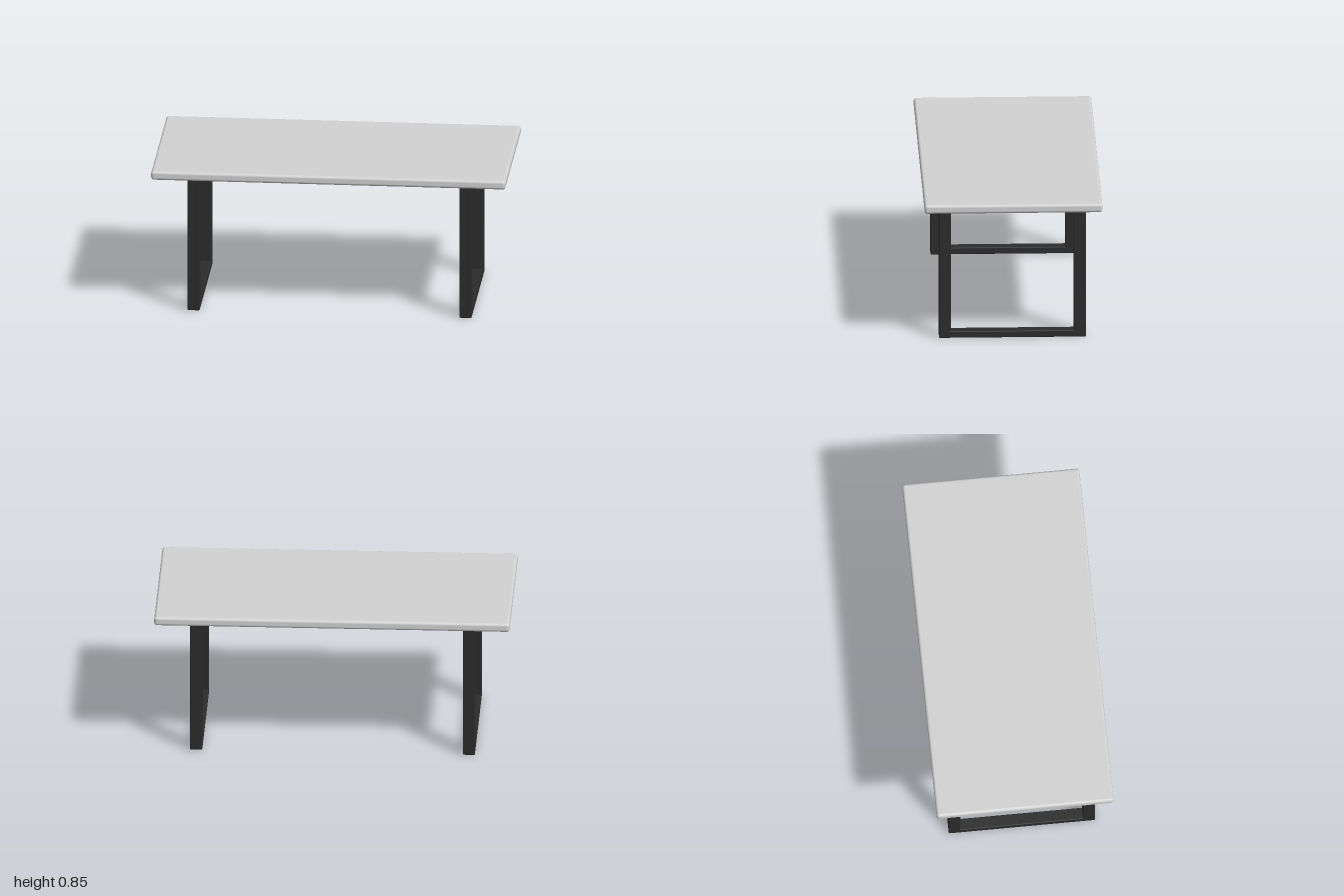
import * as THREE from 'three';
import { RoundedBoxGeometry } from 'three/addons/geometries/RoundedBoxGeometry.js';

export function createModel() {
  const model = new THREE.Group();
  model.name = 'table';
  const topPaint = new THREE.MeshStandardMaterial({ color: 0xd2d2d2 });
  topPaint.name = 'light grey top';
  const metal = new THREE.MeshStandardMaterial({ color: 0x2c2c2c });
  metal.name = 'black metal';

  // Rounded bar given by its size and centre
  function bar(parent, name, [w, h, d], [x, y, z], radius, material) {
    const mesh = new THREE.Mesh(new RoundedBoxGeometry(w, h, d, 4, radius), material);
    mesh.name = name;
    mesh.position.set(x, y, z);
    parent.add(mesh);
  }

  // Tabletop with softly rounded edges
  bar(model, 'tabletop', [2, 0.051, 1], [0, 0.8195, 0], 0.016, topPaint);

  // Two closed rectangular leg frames
  for (const side of [-1, 1]) {
    const frame = new THREE.Group();
    frame.name = side > 0 ? 'leftLegFrame' : 'rightLegFrame';
    frame.position.x = side * 0.767;
    for (const end of [-1, 1]) {
      bar(frame, end > 0 ? 'frontLeg' : 'backLeg', [0.068, 0.795, 0.068], [0, 0.3975, end * 0.379], 0.005, metal);
    }
    bar(frame, 'bottomRail', [0.068, 0.039, 0.82], [0, 0.0195, 0], 0.005, metal);
    bar(frame, 'topRail', [0.068, 0.039, 0.82], [0, 0.7755, 0], 0.005, metal);
    model.add(frame);
  }

  // Long stretcher joining the frames under the top
  bar(model, 'stretcher', [1.48, 0.043, 0.043], [0, 0.7645, 0], 0.005, metal);

  return model;
}
